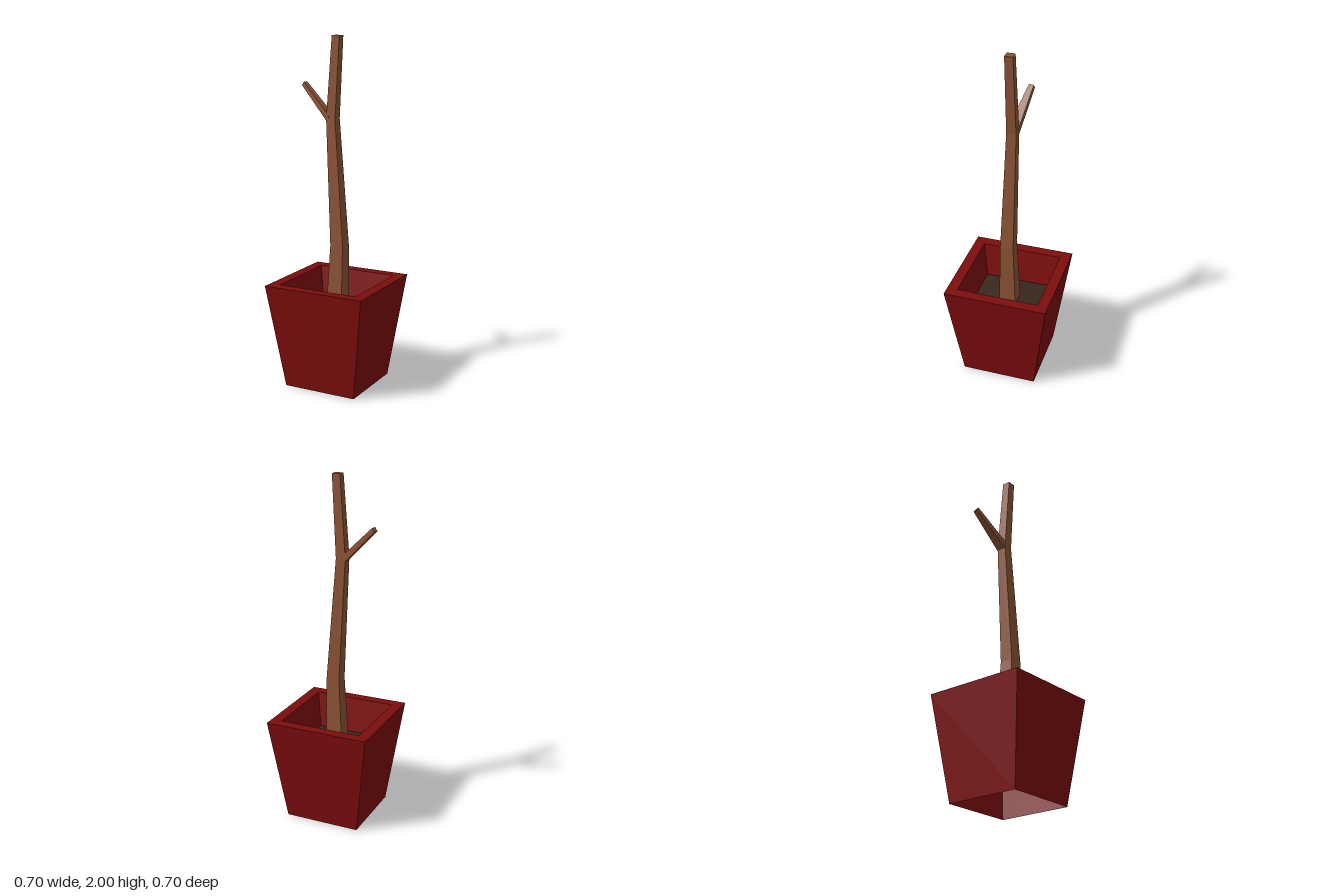
import * as THREE from 'three';

const TURN = 0.179; // the whole plant is turned slightly about y

const material = (color, side = THREE.FrontSide) =>
  new THREE.MeshStandardMaterial({ color, side, flatShading: true });

// Faceted mesh with one normal per face
function facetedMesh(name, geometry, mat) {
  const flat = geometry.toNonIndexed();
  flat.computeVertexNormals();
  const mesh = new THREE.Mesh(flat, mat);
  mesh.name = name;
  return mesh;
}

// Four-sided solid from [half side, y] pairs
function squareLathe(profile) {
  const points = profile.map(([half, y]) => new THREE.Vector2(half * Math.SQRT2, y));
  return new THREE.LatheGeometry(points, 4, Math.PI / 4 + TURN);
}

// Trunk: tapered square rings [half side, y, z offset], bent along z
function trunkGeometry() {
  const rings = [
    [0.05, 0.4, 0], [0.039, 0.82, 0.015], [0.028, 1.54, -0.033],
    [0.0235, 2, 0], [0, 2, 0],
  ];
  const geometry = squareLathe(rings);
  const pos = geometry.attributes.position;
  for (let i = 0; i < pos.count; i++) {
    pos.setZ(i, pos.getZ(i) + rings[i % rings.length][2]);
  }
  return geometry;
}

// Branch: a box whose ends are moved onto the trunk and the tip
function branchGeometry() {
  const ends = [
    { centre: new THREE.Vector3(-0.002, 1.535, -0.045), width: 0.058, up: new THREE.Vector3(0, 0.045, 0.004) },
    { centre: new THREE.Vector3(0.007, 1.725, -0.245), width: 0.029, up: new THREE.Vector3(0, 0.02, 0.015) },
  ];
  const geometry = new THREE.BoxGeometry(1, 1, 1);
  const pos = geometry.attributes.position;
  const p = new THREE.Vector3();
  for (let i = 0; i < pos.count; i++) {
    const end = ends[pos.getY(i) > 0 ? 1 : 0];
    const across = pos.getX(i) * end.width;
    p.copy(end.centre).addScaledVector(end.up, pos.getZ(i));
    p.x += across;
    if (end === ends[0]) p.z -= across * Math.tan(TURN);
    pos.setXYZ(i, p.x, p.y, p.z);
  }
  return geometry;
}

export function createModel() {
  const model = new THREE.Group();
  model.name = 'pottedTree';
  const bark = material(0x8b5234);

  // Pot: outer wall, flat rim and inner wall, open underneath
  const pot = squareLathe([[0.22, 0], [0.303, 0.608], [0.241, 0.608], [0.2135, 0.4]]);
  model.add(facetedMesh('pot', pot, material(0x7d0d0d, THREE.DoubleSide)));

  // Soil: low mound
  const soil = squareLathe([[0.2135, 0.4], [0, 0.435]]);
  model.add(facetedMesh('soil', soil, material(0x38271d, THREE.DoubleSide)));

  model.add(facetedMesh('trunk', trunkGeometry(), bark));
  model.add(facetedMesh('branch', branchGeometry(), bark));
  return model;
}
